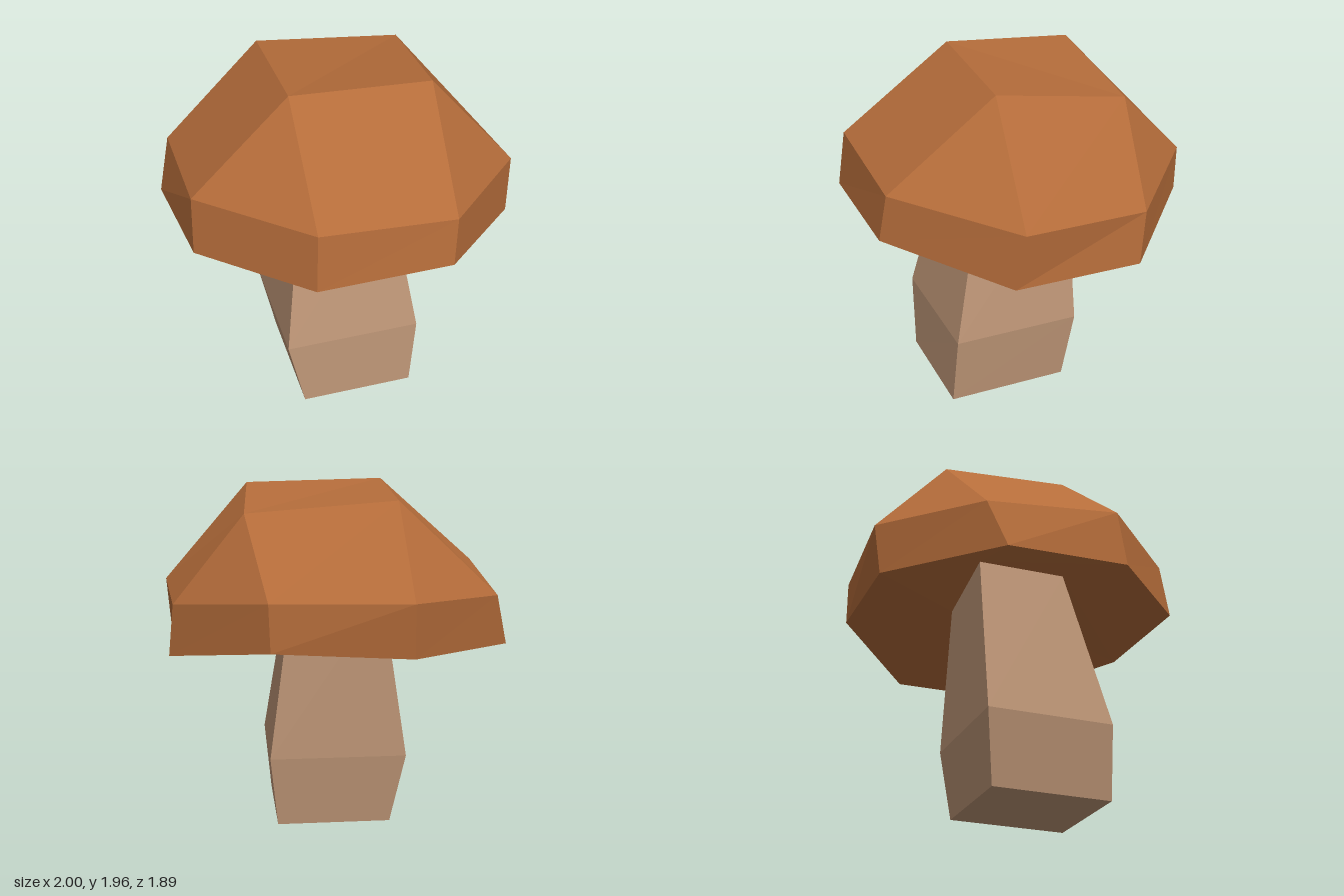
import * as THREE from 'three';

// Fan-triangulates flat polygons into a faceted geometry
function facets(polygons) {
  const pos = [];
  for (const p of polygons)
    for (let i = 1; i < p.length - 1; i++) pos.push(...p[0], ...p[i], ...p[i + 1]);
  const g = new THREE.BufferGeometry();
  g.setAttribute('position', new THREE.Float32BufferAttribute(pos, 3));
  g.computeVertexNormals();
  return g;
}

// Side faces between two rings with equal corner counts
const band = (low, high) => low.map((p, i) => {
  const j = (i + 1) % low.length;
  return [p, low[j], high[j], high[i]];
});

// Faces joining an eight-cornered ring to a four-cornered one
const octToQuad = (oct, quad) => quad.flatMap((q, k) => [
  [oct[2 * k], oct[2 * k + 1], quad[(k + 1) % 4], q],
  [oct[(2 * k + 7) % 8], oct[2 * k], q],
]);

const flip = (polygons) => polygons.map((p) => [...p].reverse());

export function createModel() {
  const capBrown = new THREE.MeshStandardMaterial({ color: 0xb46c3a });
  capBrown.name = 'capBrown';
  const stemBeige = new THREE.MeshStandardMaterial({ color: 0xbd9576 });
  stemBeige.name = 'stemBeige';

  // Stem rings, counterclockwise from the front
  const base = [[-0.2, 0, 0.535], [0.435, 0, 0.39], [0.28, 0, -0.29], [-0.355, 0, -0.145]];
  const bulge = [[-0.29, 0.41, 0.535], [0.47, 0.41, 0.36], [0.31, 0.41, -0.355], [-0.45, 0.41, -0.18]];
  const neck = [[-0.2, 1.36, 0.29], [0.3, 1.285, 0.2], [0.2, 1.28, -0.315], [-0.31, 1.355, -0.215]];

  // Cap rings: crown, shoulder and rim
  const crown = [[-0.25, 1.96, 0.29], [0.52, 1.94, 0.145], [0.4, 1.83, -0.57], [-0.41, 1.895, -0.43]];
  const shoulder = [
    [-0.13, 1.505, 0.9], [0.605, 1.46, 0.735], [1, 1.375, 0.075], [0.79, 1.34, -0.605],
    [0.21, 1.415, -0.945], [-0.53, 1.41, -0.83], [-0.945, 1.37, -0.265], [-0.78, 1.465, 0.48],
  ];
  const rim = [
    [-0.14, 1.185, 0.945], [0.59, 1.195, 0.78], [0.985, 1.057, 0.125], [0.825, 1.05, -0.575],
    [0.2, 1.157, -0.945], [-0.53, 1.115, -0.79], [-1, 1.08, -0.16], [-0.785, 1.14, 0.525],
  ];

  const stem = new THREE.Mesh(facets([
    ...flip([base]), ...band(base, bulge), ...band(bulge, neck),
  ]), stemBeige);
  stem.name = 'stem';

  // Closed cap with a hollowed underside rising to the neck
  const cap = new THREE.Mesh(facets([
    crown, ...octToQuad(shoulder, crown), ...band(rim, shoulder), ...flip(octToQuad(rim, neck)),
  ]), capBrown);
  cap.name = 'cap';

  const mushroom = new THREE.Group();
  mushroom.name = 'mushroom';
  mushroom.add(stem, cap);
  return mushroom;
}
